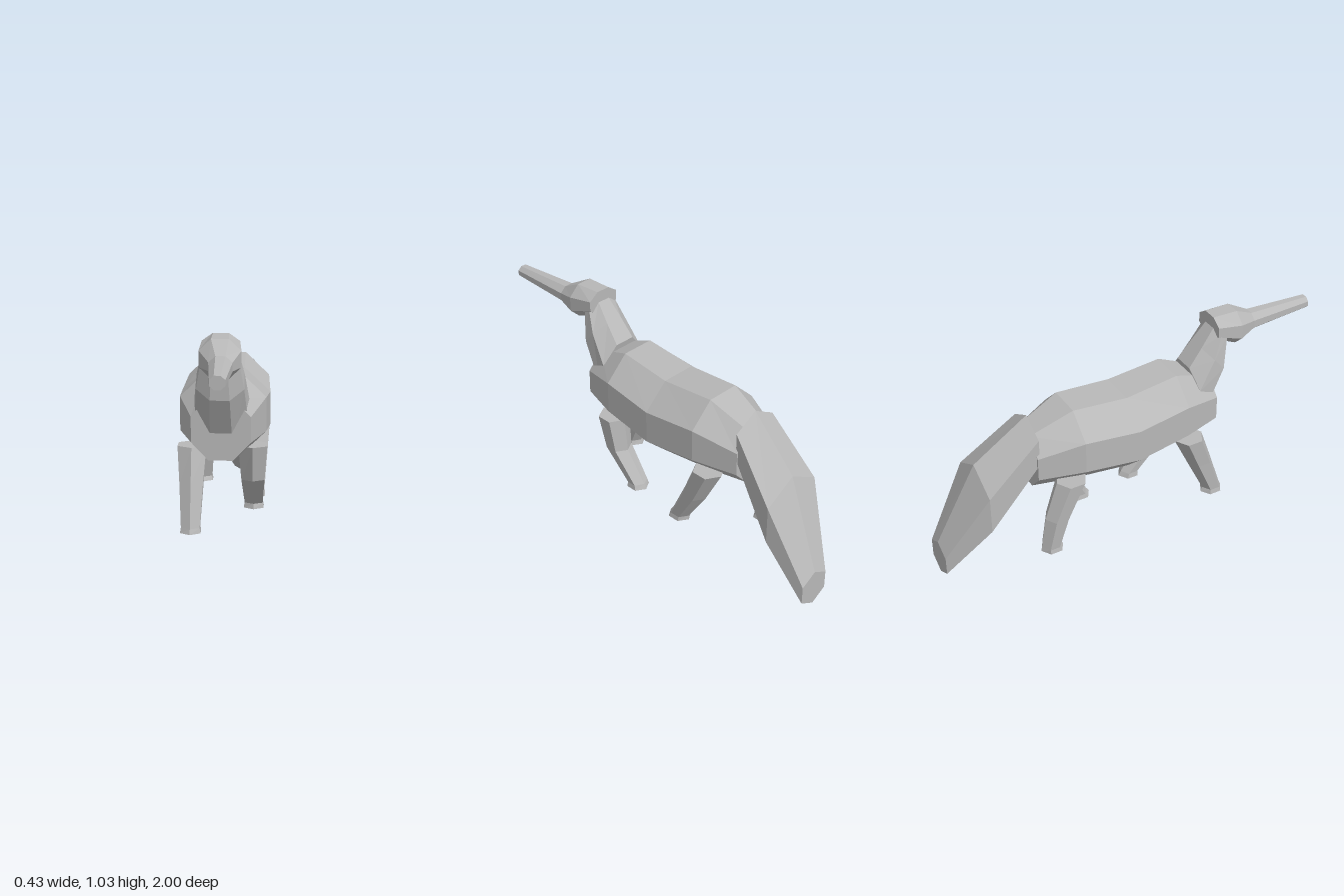
import * as THREE from 'three';

const fur = new THREE.MeshStandardMaterial({ color: 0xb8b8b8, flatShading: true });
fur.name = 'plain grey';

// One cross-section: centre c, half width hx along x, half axis v = [vy, vz]
function ring(sides, [cx, cy, cz], hx, [vy, vz]) {
  const flat = Math.cos(Math.PI / sides);
  const k = sides === 8 ? flat : 1; // octagons lie flat on v, hexagons point along it
  return Array.from({ length: sides }, (_, i) => {
    const a = ((i + 0.5) * 2 * Math.PI) / sides;
    const u = Math.cos(a) / flat, w = Math.sin(a) / k;
    return new THREE.Vector3(cx + u * hx, cy + w * vy, cz + w * vz);
  });
}

// Skin a row of cross-sections and close both ends
function loft(name, rings) {
  const pos = [];
  const tri = (...pts) => pts.forEach((p) => pos.push(p.x, p.y, p.z));
  const n = rings[0].length;
  for (let r = 0; r + 1 < rings.length; r++) {
    const a = rings[r], b = rings[r + 1];
    for (let i = 0; i < n; i++) {
      const j = (i + 1) % n;
      tri(a[i], a[j], b[j]);
      tri(a[i], b[j], b[i]);
    }
  }
  const first = rings[0], last = rings[rings.length - 1];
  for (let i = 1; i < n - 1; i++) {
    tri(first[0], first[i + 1], first[i]);
    tri(last[0], last[i], last[i + 1]);
  }
  const geo = new THREE.BufferGeometry();
  geo.setAttribute('position', new THREE.Float32BufferAttribute(pos, 3));
  geo.computeVertexNormals();
  const mesh = new THREE.Mesh(geo, fur);
  mesh.name = name;
  return mesh;
}

// Upright sections: [x, y, z, halfWidth, halfHeight]
const upright = (sides, rows) =>
  rows.map(([x, y, z, hx, hy]) => ring(sides, [x, y, z], hx, [hy, 0]));

// Leg from hip to foot: level hexagons, each row [y, z, halfDepth]
function leg(name, side, rows) {
  const widths = [0.067, 0.054, 0.043, 0.047];
  return loft(name, rows.map(([y, z, hz], i) =>
    ring(6, [side * 0.14, y, z], widths[i], [0, hz])));
}

export function createModel() {
  const model = new THREE.Group();
  model.name = 'longSnoutedAnimal';

  // Body, rump to chest
  model.add(loft('body', upright(8, [
    [0, 0.58, -0.56, 0.13, 0.142],
    [0, 0.613, -0.35, 0.2, 0.194],
    [0, 0.583, -0.07, 0.213, 0.198],
    [0, 0.613, 0.2, 0.2, 0.194],
    [0, 0.583, 0.4, 0.135, 0.143],
  ])));

  // Neck, tilting forward: back point and front point of each section as [y, z]
  model.add(loft('neck', [
    [[0.8, 0.29], [0.48, 0.355], 0.125],
    [[0.885, 0.36], [0.735, 0.487], 0.107],
    [[0.97, 0.43], [0.915, 0.5], 0.08],
  ].map(([[by, bz], [fy, fz], hx]) =>
    ring(8, [0, (by + fy) / 2, (bz + fz) / 2], hx, [(by - fy) / 2, (bz - fz) / 2]))));

  // Head and long snout
  model.add(loft('head', upright(8, [
    [0.003, 0.968, 0.43, 0.085, 0.06],
    [0.006, 0.935, 0.56, 0.093, 0.088],
    [0.014, 0.92, 0.665, 0.052, 0.046],
    [0.02, 0.917, 1, 0.033, 0.03],
  ])));

  // Tail, tip to root, swinging to one side
  model.add(loft('tail', upright(6, [
    [0.078, 0.092, -1, 0.08, 0.092],
    [0.035, 0.408, -0.805, 0.16, 0.188],
    [0, 0.665, -0.545, 0.12, 0.137],
  ])));

  // Legs in mid-stride
  model.add(
    leg('frontLeftLeg', 1, [[0.475, 0.228, 0.073], [0.305, 0.197, 0.062], [0.155, 0.07, 0.046], [0.13, 0.067, 0.056]]),
    leg('frontRightLeg', -1, [[0.475, 0.238, 0.075], [0.31, 0.305, 0.064], [0.122, 0.38, 0.049], [0.098, 0.381, 0.059]]),
    leg('hindLeftLeg', 1, [[0.475, -0.402, 0.077], [0.29, -0.317, 0.066], [0.13, -0.228, 0.05], [0.107, -0.22, 0.059]]),
    leg('hindRightLeg', -1, [[0.475, -0.4, 0.075], [0.285, -0.478, 0.063], [0.125, -0.518, 0.049], [0.103, -0.513, 0.058]]),
  );
  return model;
}
